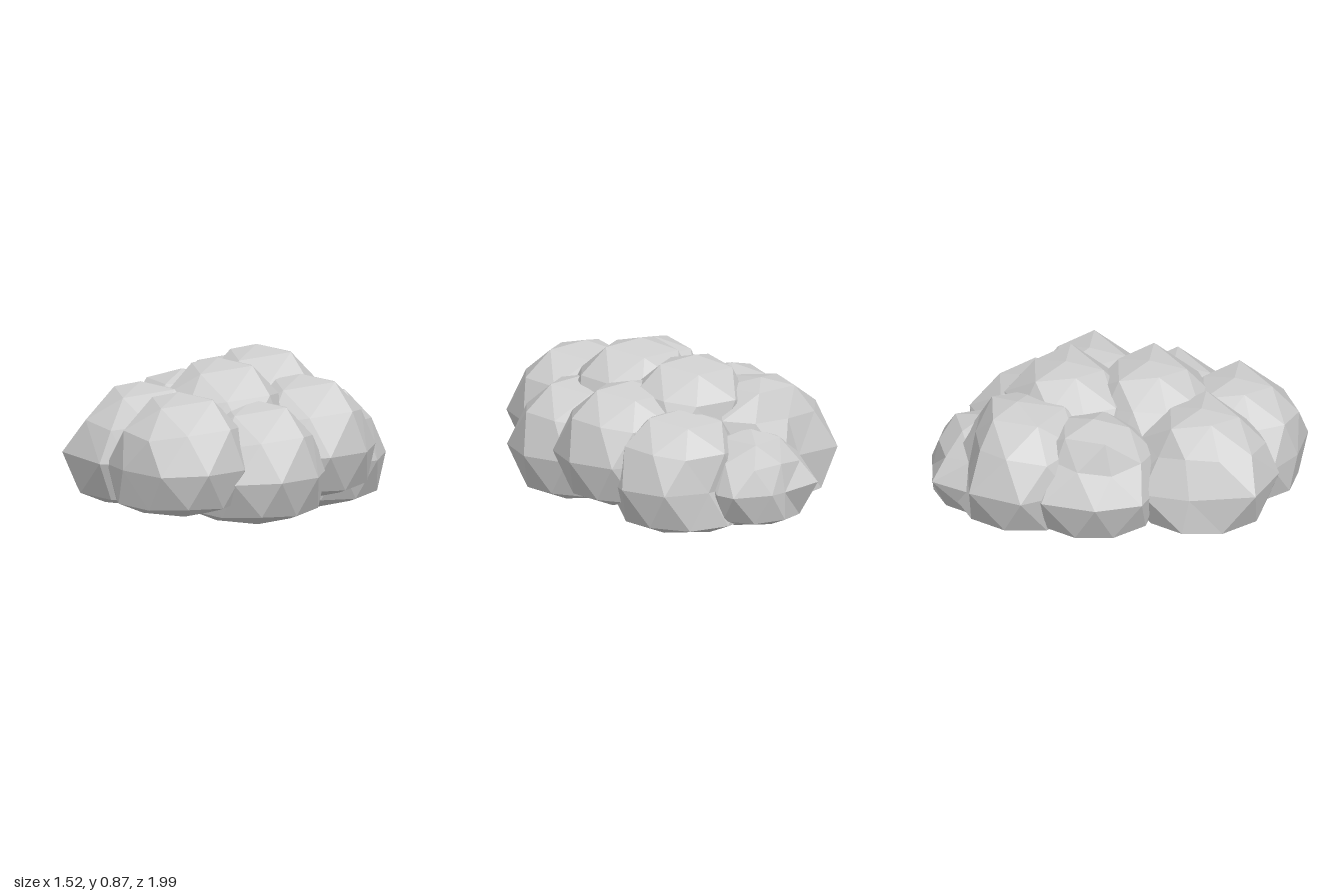
import * as THREE from 'three';

const material = new THREE.MeshStandardMaterial({ color: 0xcccccc, flatShading: true });

// Pull the vertex nearest to each tip (and its copies) onto that tip
function pullTips(geometry, tips) {
  const pos = geometry.attributes.position;
  const v = new THREE.Vector3(), target = new THREE.Vector3(), nearest = new THREE.Vector3();
  for (const tip of tips) {
    target.set(...tip);
    let best = Infinity;
    for (let i = 0; i < pos.count; i++) {
      v.fromBufferAttribute(pos, i);
      const d = v.distanceTo(target);
      if (d < best) { best = d; nearest.copy(v); }
    }
    for (let i = 0; i < pos.count; i++) {
      v.fromBufferAttribute(pos, i);
      if (v.distanceTo(nearest) < 1e-4) pos.setXYZ(i, ...tip);
    }
  }
}

// Faceted ball with a vertex at the top and a wide, flattened underside
function puffGeometry(radius) {
  const g = new THREE.IcosahedronGeometry(1, 1);
  g.rotateX(-Math.atan((1 + Math.sqrt(5)) / 2));
  const pos = g.attributes.position;
  for (let i = 0; i < pos.count; i++) {
    const y = pos.getY(i);
    if (y < -0.4) pos.setXYZ(i, pos.getX(i) * 1.04, -0.5 + (y + 0.45) * 0.4, pos.getZ(i) * 1.04);
  }
  g.scale(radius, radius, radius);
  return g;
}

// Upper half: steep on the right, full on the left
const crown = [
  [0.22, 0.36, 0.03], [0.35, 0.22, 0.08], [-0.13, 0.35, 0.05], [-0.24, 0.19, 0.09],
  [-0.23, 0.2, -0.09], [-0.15, 0.17, -0.23], [0.2, 0.18, -0.24],
];
// Widest ring and underside
const belly = [
  [0.1, -0.01, 0.39], [-0.16, 0, 0.33], [-0.32, 0, 0.2], [0.32, 0, 0.27], [0.41, 0, 0.03],
  [0.33, 0, -0.22], [0.1, 0, -0.31], [-0.12, 0, -0.29], [-0.28, 0, -0.18],
  [-0.17, -0.272, -0.08],
];
const regular = [...crown, ...belly];

// name, centre, radius, tips relative to the centre
const puffs = [
  ['frontPuff', [0.02, 0.38, 0.6], 0.38, regular],
  ['frontTopPuff', [0.02, 0.49, 0.15], 0.38, regular],
  ['rearTopPuff', [0.02, 0.49, -0.29], 0.38, regular],
  ['leftFrontPuff', [0.29, 0.31, 0.28], 0.38, regular],
  ['leftMiddlePuff', [0.35, 0.38, -0.16], 0.38, regular],
  ['leftRearPuff', [0.25, 0.275, -0.47], 0.38, regular],
  ['rightFrontPuff', [-0.3, 0.38, 0.42], 0.38,
    [...crown, [-0.32, 0.02, 0.28], [-0.03, 0, 0.41], [-0.32, 0, -0.07], [-0.25, 0, -0.32]]],
  ['rightMiddlePuff', [-0.35, 0.37, -0.15], 0.36,
    [[-0.41, 0.03, 0], [-0.27, 0, -0.28], [-0.3, 0, 0.25], [0.02, 0, 0.29],
      [-0.23, 0.14, 0.09], [-0.22, 0.16, -0.09], [-0.15, 0.18, -0.2]]],
  ['rightRearPuff', [-0.21, 0.38, -0.51], 0.4,
    [[0, 0.38, -0.04], [-0.31, 0, -0.3], [-0.04, 0, -0.3], [-0.44, 0, -0.03],
      [0.26, 0, -0.24], [0.37, 0, -0.07], [-0.2, 0.2, -0.24], [0.2, 0.2, -0.23],
      [0, 0.2, -0.26]]],
  ['rearPuff', [0, 0.26, -0.71], 0.3,
    [[-0.22, 0.02, -0.29], [0, 0, -0.28], [0.19, 0, -0.25], [0.29, 0, -0.2], [0.31, 0, -0.09],
      [-0.31, 0, -0.09], [0.1, 0.25, -0.16], [0, 0.15, -0.25]]],
];

export function createModel() {
  const cloud = new THREE.Group();
  cloud.name = 'cloud';
  for (const [name, centre, radius, tips] of puffs) {
    const geometry = puffGeometry(radius);
    pullTips(geometry, tips);
    geometry.computeVertexNormals();
    const puff = new THREE.Mesh(geometry, material);
    puff.name = name;
    puff.position.set(...centre);
    cloud.add(puff);
  }
  return cloud;
}
